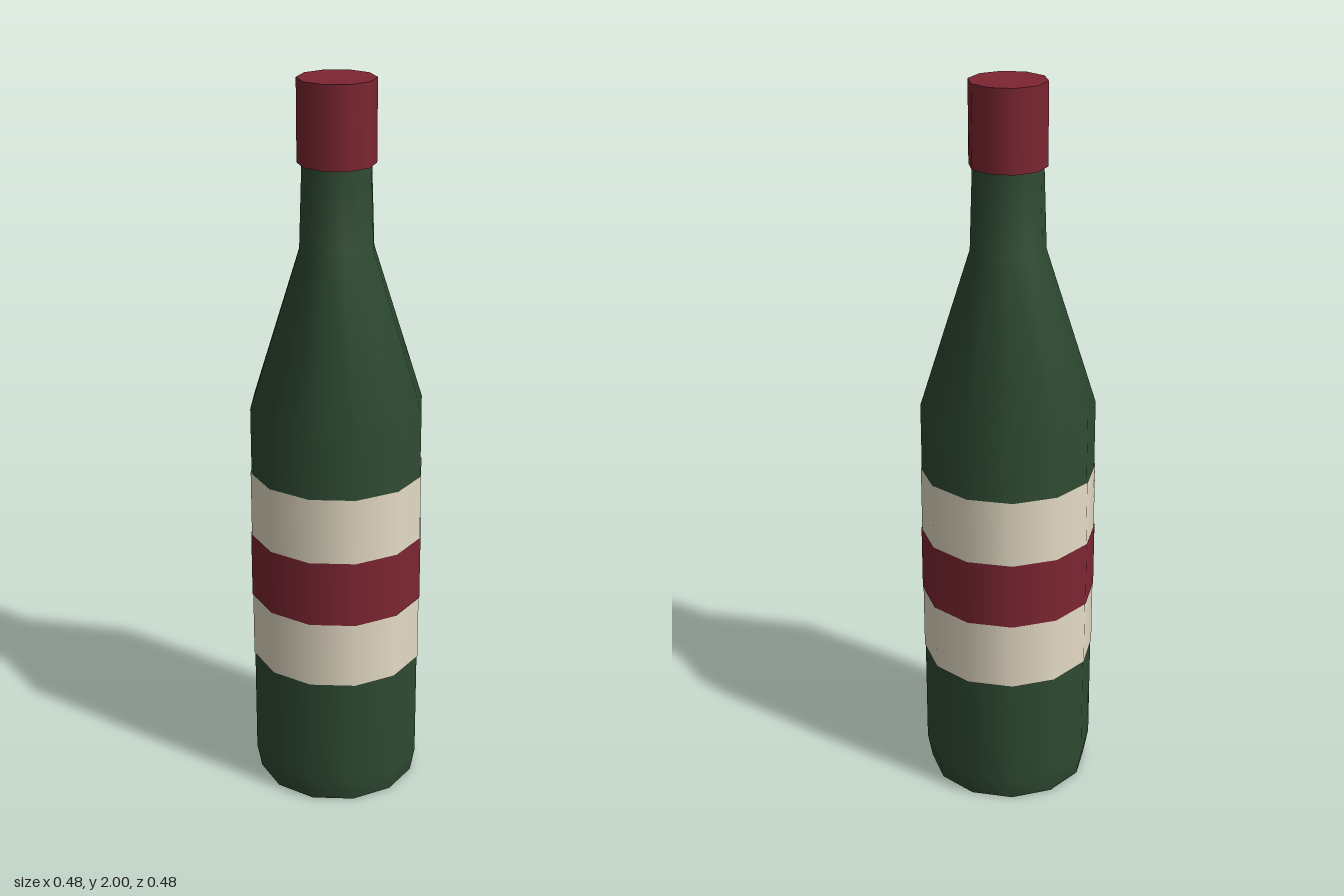
import * as THREE from 'three';

const SIDES = 12;

export function createModel() {
  const bottle = new THREE.Group();
  bottle.name = 'bottle';

  const material = (name, color) => {
    const m = new THREE.MeshStandardMaterial({ color, side: THREE.DoubleSide });
    m.name = name;
    return m;
  };
  const green = material('green glass', 0x2e4a32);
  const red = material('dark red', 0x7d2632);
  const cream = material('cream paper', 0xe6dcc6);

  const add = (name, geometry, mat, y = 0) => {
    const mesh = new THREE.Mesh(geometry, mat);
    mesh.name = name;
    mesh.position.y = y;
    bottle.add(mesh);
    return mesh;
  };

  // Glass body: chamfered foot, straight wall, sloping shoulder and neck
  const profile = [
    [0.224, 0], [0.237, 0.07], [0.237, 1.125], [0.1, 1.56], [0.092, 1.8],
  ].map(([r, y]) => new THREE.Vector2(r, y));
  add('glassBody', new THREE.LatheGeometry(profile, SIDES), green);

  // Flat underside
  add('base', new THREE.CircleGeometry(0.224, SIDES).rotateX(Math.PI / 2), green);

  // Open sleeves wrapped round the body
  const sleeve = (name, radius, bottom, top, mat) =>
    add(name, new THREE.CylinderGeometry(radius, radius, top - bottom, SIDES, 1, true),
      mat, (bottom + top) / 2);
  sleeve('label', 0.2395, 0.38, 0.94, cream);
  sleeve('labelStripe', 0.2415, 0.568, 0.755, red);

  // Foil cap over the mouth
  add('cap', new THREE.CylinderGeometry(0.103, 0.103, 0.217, 10), red, 1.8915);

  return bottle;
}
